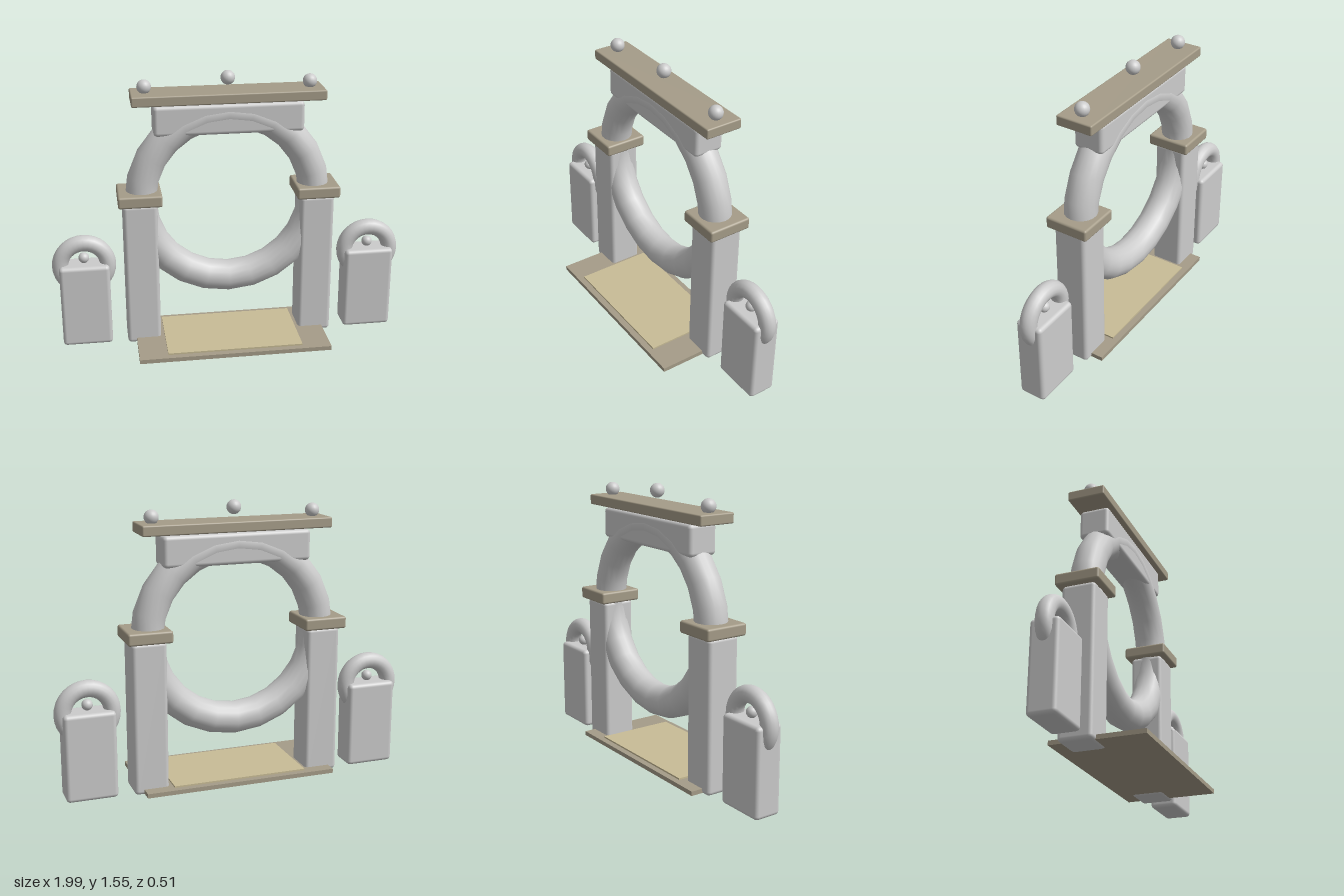
import * as THREE from 'three';
import { RoundedBoxGeometry } from 'three/addons/geometries/RoundedBoxGeometry.js';

const Z = -0.095; // depth line shared by the gate and the side weights

export function createModel() {
  const model = new THREE.Group();
  model.name = 'ringGate';

  const stone = new THREE.MeshStandardMaterial({ color: 0xcccccc });
  const trim = new THREE.MeshStandardMaterial({ color: 0xa59c88 });
  const matting = new THREE.MeshStandardMaterial({ color: 0xc8bc96 });

  function add(name, geometry, material, x, y, z, parent = model) {
    const mesh = new THREE.Mesh(geometry, material);
    mesh.name = name;
    mesh.position.set(x, y, z);
    parent.add(mesh);
    return mesh;
  }
  const rounded = (w, h, d, r) => new RoundedBoxGeometry(w, h, d, 3, r);
  const ball = (r) => new THREE.SphereGeometry(r, 20, 14);

  // Floor slab and the mat lying on it
  add('floorSlab', new THREE.BoxGeometry(1.08, 0.024, 0.51), trim, 0, 0.019, 0);
  add('floorMat', new THREE.BoxGeometry(0.76, 0.012, 0.44), matting, 0, 0.034, 0);

  // Large ring held between the pillars
  add('mainRing', new THREE.TorusGeometry(0.4875, 0.088, 18, 24), stone, 0, 0.84, Z);

  // Lintel block, roof plank and its three finials
  add('lintel', rounded(0.82, 0.168, 0.17, 0.022), stone, 0, 1.304, Z);
  add('roofPlank', rounded(1.05, 0.056, 0.208, 0.008), trim, 0, 1.422, Z);
  for (const [x, y] of [[-0.45, 1.48], [0, 1.515], [0.45, 1.48]]) {
    add('finialBall', ball(0.039), stone, x, y, Z);
  }

  for (const [side, s] of [['left', 1], ['right', -1]]) {
    // Pillar with its cap
    add(side + 'Pillar', rounded(0.19, 0.838, 0.186, 0.022), stone, s * 0.495, 0.419, Z);
    add(side + 'PillarCap', rounded(0.242, 0.066, 0.245, 0.012), trim, s * 0.495, 0.868, Z);

    // Free-standing weight: block, ring handle and small ball
    const weight = new THREE.Group();
    weight.name = side + 'Weight';
    weight.position.set(s * 0.816, 0, Z);
    add('weightBlock', rounded(0.28, 0.482, 0.155, 0.022), stone, 0, 0.241, 0, weight);
    add('weightRing', new THREE.TorusGeometry(0.133, 0.046, 16, 32), stone, 0, 0.468, 0, weight);
    add('weightBall', ball(0.03), stone, 0, 0.512, 0, weight);
    model.add(weight);
  }

  return model;
}
